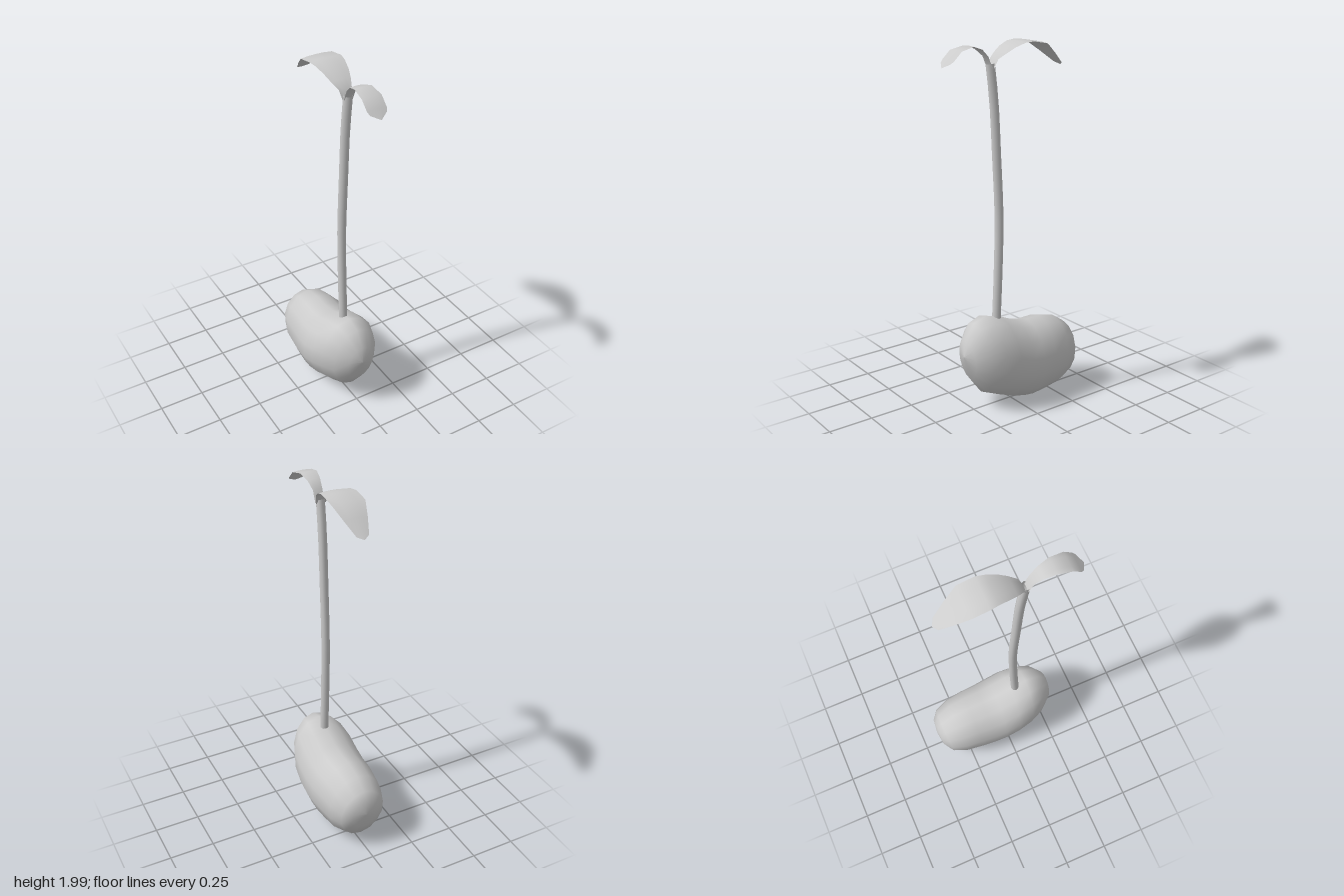
import * as THREE from 'three';

// Skin a list of equally long point rows; closed rows wrap around
function loft(rows, closed) {
  const n = rows[0].length, index = [];
  for (let i = 0; i < rows.length - 1; i++) {
    for (let j = 0; j < (closed ? n : n - 1); j++) {
      const k = (j + 1) % n;
      const a = i * n + j, b = i * n + k, c = a + n, d = b + n;
      index.push(a, b, c, b, d, c);
    }
  }
  const geo = new THREE.BufferGeometry();
  geo.setAttribute('position', new THREE.Float32BufferAttribute(rows.flat(2), 3));
  geo.setIndex(index);
  geo.computeVertexNormals();
  return geo;
}

// Bean: elliptical rings, each given by top z, top y, bottom z, bottom y, half width
function beanGeometry() {
  const sections = [
    [0.31, 0.335, 0.31, 0.335, 0.001],
    [0.297, 0.43, 0.275, 0.204, 0.08],
    [0.24, 0.516, 0.2, 0.1, 0.137],
    [0.16, 0.54, 0.12, 0.065, 0.172],
    [0.065, 0.512, 0.04, 0.036, 0.186],
    [-0.03, 0.47, -0.04, 0.015, 0.187],
    [-0.115, 0.453, -0.1, 0.007, 0.182],
    [-0.2, 0.455, -0.18, 0.013, 0.176],
    [-0.305, 0.432, -0.27, 0.026, 0.163],
    [-0.38, 0.38, -0.355, 0.07, 0.132],
    [-0.41, 0.33, -0.405, 0.16, 0.078],
    [-0.418, 0.25, -0.418, 0.25, 0.001],
  ];
  const sides = 14;
  return loft(sections.map(([zt, yt, zb, yb, w]) =>
    Array.from({ length: sides }, (_, j) => {
      const a = (j / sides) * Math.PI * 2, c = Math.cos(a);
      return [Math.sin(a) * w, (yt + yb) / 2 + c * (yt - yb) / 2, (zt + zb) / 2 + c * (zt - zb) / 2];
    })), true);
}

// Leaf: thin strip given by z, y and half width, with slightly drooping edges
function leafGeometry(spine) {
  return loft(spine.map(([z, y, w]) =>
    [-1, -0.5, 0, 0.5, 1].map(t => [t * w, y - 0.07 * w * t * t, z])), false);
}

export function createModel() {
  const group = new THREE.Group();
  const grey = new THREE.MeshStandardMaterial({ color: 0xcccccc });
  const thin = new THREE.MeshStandardMaterial({ color: 0xcccccc, side: THREE.DoubleSide });
  const add = (name, geo, mat) => {
    const mesh = new THREE.Mesh(geo, mat);
    mesh.name = name;
    group.add(mesh);
  };

  add('bean', beanGeometry(), grey);

  // Gently bent stem
  const path = new THREE.CatmullRomCurve3([
    [0.48, 0.095], [0.79, 0.08], [1.08, 0.073], [1.4, 0.087], [1.7, 0.103], [1.89, 0.125],
  ].map(([y, z]) => new THREE.Vector3(0, y, z)));
  add('stem', new THREE.TubeGeometry(path, 12, 0.024, 8), thin);

  add('backLeaf', leafGeometry([
    [0.118, 1.87, 0.027], [0.1, 1.915, 0.036], [0.06, 1.945, 0.054], [0.016, 1.973, 0.068],
    [-0.04, 1.995, 0.08], [-0.085, 2.0, 0.088], [-0.175, 1.985, 0.088], [-0.245, 1.93, 0.063],
    [-0.315, 1.87, 0.033], [-0.333, 1.855, 0.001],
  ]), thin);

  add('frontLeaf', leafGeometry([
    [0.128, 1.87, 0.026], [0.154, 1.93, 0.026], [0.196, 1.968, 0.035], [0.255, 1.987, 0.046],
    [0.33, 1.97, 0.053], [0.375, 1.927, 0.053], [0.39, 1.912, 0.045], [0.415, 1.888, 0.001],
  ]), thin);

  return group;
}
